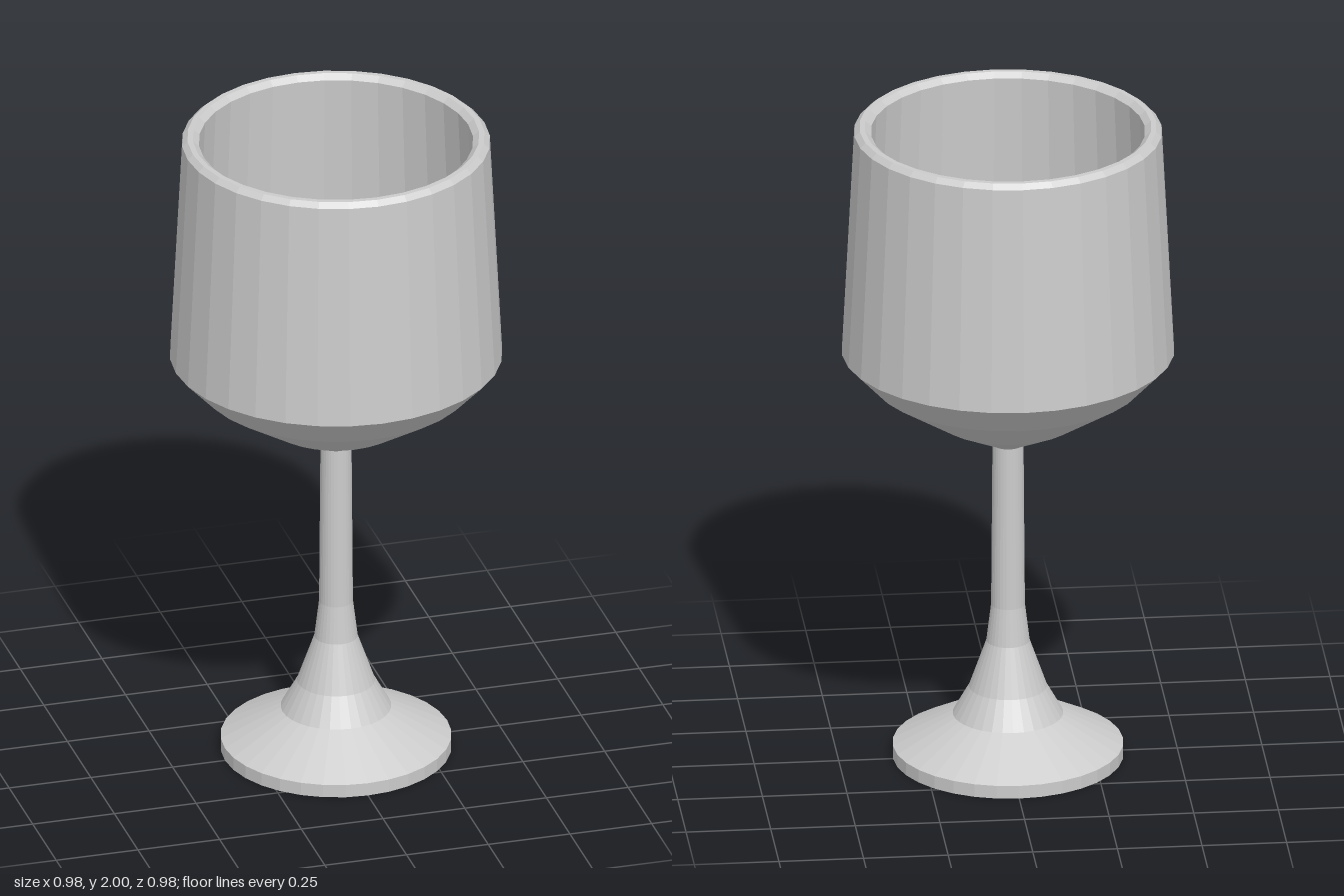
import * as THREE from 'three';

const SIDES = 32;

// Turns a profile of [radius, height] points, listed from the outside bottom
// up and then down the inside, into a faceted part.
function turned(name, profile, material) {
  const points = profile.map(([r, y]) => new THREE.Vector2(r, y));
  const mesh = new THREE.Mesh(new THREE.LatheGeometry(points, SIDES), material);
  mesh.name = name;
  return mesh;
}

export function createModel() {
  const goblet = new THREE.Group();
  goblet.name = 'goblet';
  const material = new THREE.MeshStandardMaterial({ color: 0xcccccc, flatShading: true });

  // Flat disc flaring up into the stem
  goblet.add(turned('foot', [
    [0, 0], [0.34, 0], [0.34, 0.04], [0.163, 0.135],
    [0.115, 0.22], [0.064, 0.365], [0.05, 0.48],
  ], material));

  // Slim, nearly straight stem
  goblet.add(turned('stem', [[0.05, 0.48], [0.046, 0.99]], material));

  // Hollow bowl: collar, cone, tapering wall, bevelled rim, inside wall, floor
  goblet.add(turned('bowl', [
    [0.046, 0.99], [0.06, 1.0], [0.095, 1.015], [0.205, 1.07],
    [0.4, 1.195], [0.49, 1.29], [0.454, 1.985], [0.438, 2],
    [0.422, 2], [0.404, 1.985], [0.435, 1.3], [0.405, 1.262],
    [0.228, 1.15], [0, 1.15],
  ], material));

  return goblet;
}
